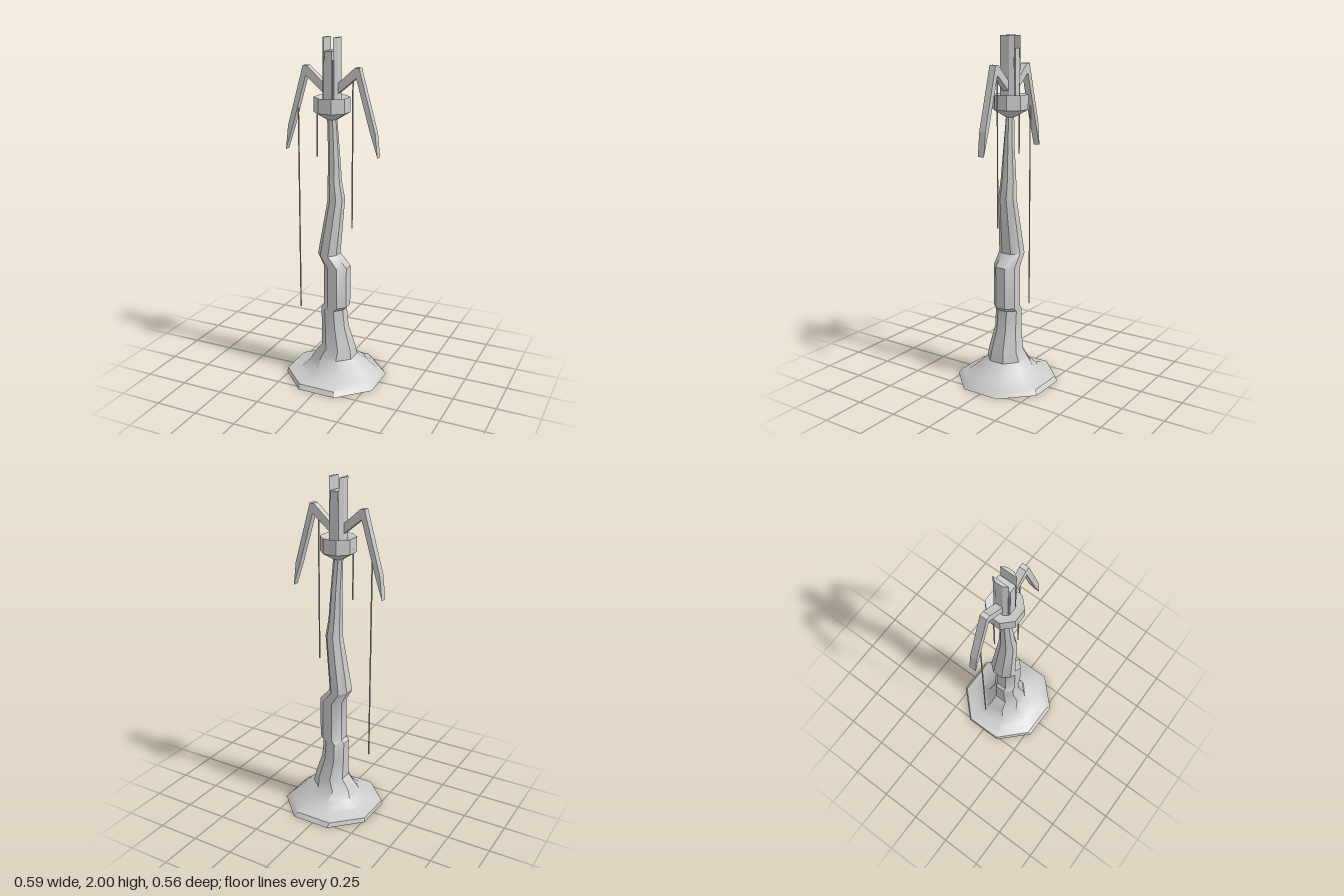
import * as THREE from 'three';
import { toCreasedNormals } from 'three/addons/utils/BufferGeometryUtils.js';

const CX = -0.014; // axis of the head above the bent trunk
const grey = new THREE.MeshStandardMaterial({ color: 0xcccccc, side: THREE.DoubleSide });

function add(group, name, geometry) {
  const mesh = new THREE.Mesh(geometry, grey);
  mesh.name = name;
  group.add(mesh);
  return mesh;
}

// Loft of octagons; each ring is [y, xMin, xMax, half depth]
function octagonLoft(rings, crease) {
  const pos = [], index = [];
  const unit = [];
  for (let i = 0; i < 8; i++) {
    const a = Math.PI / 8 + i * Math.PI / 4, r = 1 / Math.cos(Math.PI / 8);
    unit.push([Math.cos(a) * r, Math.sin(a) * r]);
  }
  for (const [y, x0, x1, d] of rings) {
    for (const [ux, uz] of unit) pos.push((x0 + x1) / 2 + ux * (x1 - x0) / 2, y, uz * d);
  }
  for (let k = 0; k < rings.length - 1; k++) {
    for (let i = 0; i < 8; i++) {
      const a = k * 8 + i, b = k * 8 + (i + 1) % 8;
      index.push(a, a + 8, b, b, a + 8, b + 8);
    }
  }
  const g = new THREE.BufferGeometry();
  g.setAttribute('position', new THREE.Float32BufferAttribute(pos, 3));
  g.setIndex(index);
  return toCreasedNormals(g, crease);
}

function extrude(points, depth) {
  const shape = new THREE.Shape(points.map(([x, y]) => new THREE.Vector2(x, y)));
  return new THREE.ExtrudeGeometry(shape, { depth, bevelEnabled: false });
}

export function createModel() {
  const model = new THREE.Group();
  model.name = 'tower';

  // Crooked trunk with a flared, open foot
  add(model, 'trunk', octagonLoft([
    [0, -0.263, 0.293, 0.278],
    [0.025, -0.26, 0.27, 0.26],
    [0.045, -0.175, 0.25, 0.2],
    [0.09, -0.13, 0.2, 0.15],
    [0.135, -0.11, 0.13, 0.11],
    [0.195, -0.065, 0.12, 0.095],
    [0.32, -0.068, 0.08, 0.072],
    [0.435, -0.07, 0.068, 0.072],
    [0.455, -0.053, 0.09, 0.072],
    [0.7, -0.053, 0.09, 0.072],
    [0.77, -0.09, 0.026, 0.072],
    [1.1, -0.032, 0.058, 0.05],
    [1.2, -0.033, 0.04, 0.043],
    [1.38, -0.033, 0.028, 0.03],
    [1.56, -0.04, 0.014, 0.02],
  ], 0.6));

  // Octagonal collar with tapered underside and dished top
  const ring = (y, r) => [y, CX - r, CX + r, r];
  add(model, 'collar', octagonLoft([
    ring(1.55, 0.002), ring(1.555, 0.028), ring(1.597, 0.094),
    ring(1.68, 0.094), ring(1.665, 0.045), ring(1.665, 0.002),
  ], 0.3));

  // Mast: core, taller middle bar and two outer plates
  const core = add(model, 'mastCore', new THREE.BoxGeometry(0.064, 0.24, 0.088));
  core.position.set(CX, 1.76, 0);
  const bar = add(model, 'mastBar', new THREE.BoxGeometry(0.042, 0.28, 0.096));
  bar.position.set(CX, 1.79, 0);

  for (const side of [-1, 1]) {
    const label = side < 0 ? 'right' : 'left';
    const plate = extrude([
      [CX + side * 0.029, -0.047], [CX + side * 0.046, -0.022],
      [CX + side * 0.046, 0.022], [CX + side * 0.029, 0.047],
    ], 0.36);
    plate.rotateX(-Math.PI / 2);
    add(model, label + 'MastPlate', plate).position.y = 1.64;

    // Bent drooping arm, tapering to a point
    const arm = extrude([
      [0.03, 1.745], [0.143, 1.845], [0.168, 1.845], [0.266, 1.5],
      [0.281, 1.365], [0.236, 1.5], [0.151, 1.79], [0.03, 1.69],
    ].map(([x, y]) => [CX + side * x, y]), 0.04);
    add(model, label + 'Arm', arm).position.z = -0.02;
  }

  // Hanging cables: [x, top, bottom]
  for (const [x, top, bottom] of [[-0.222, 1.63, 0.395], [-0.106, 1.62, 1.335], [0.111, 1.8, 0.94]]) {
    const cable = add(model, 'cable', new THREE.CylinderGeometry(0.004, 0.004, top - bottom, 6));
    cable.position.set(x, (top + bottom) / 2, 0);
  }
  return model;
}
